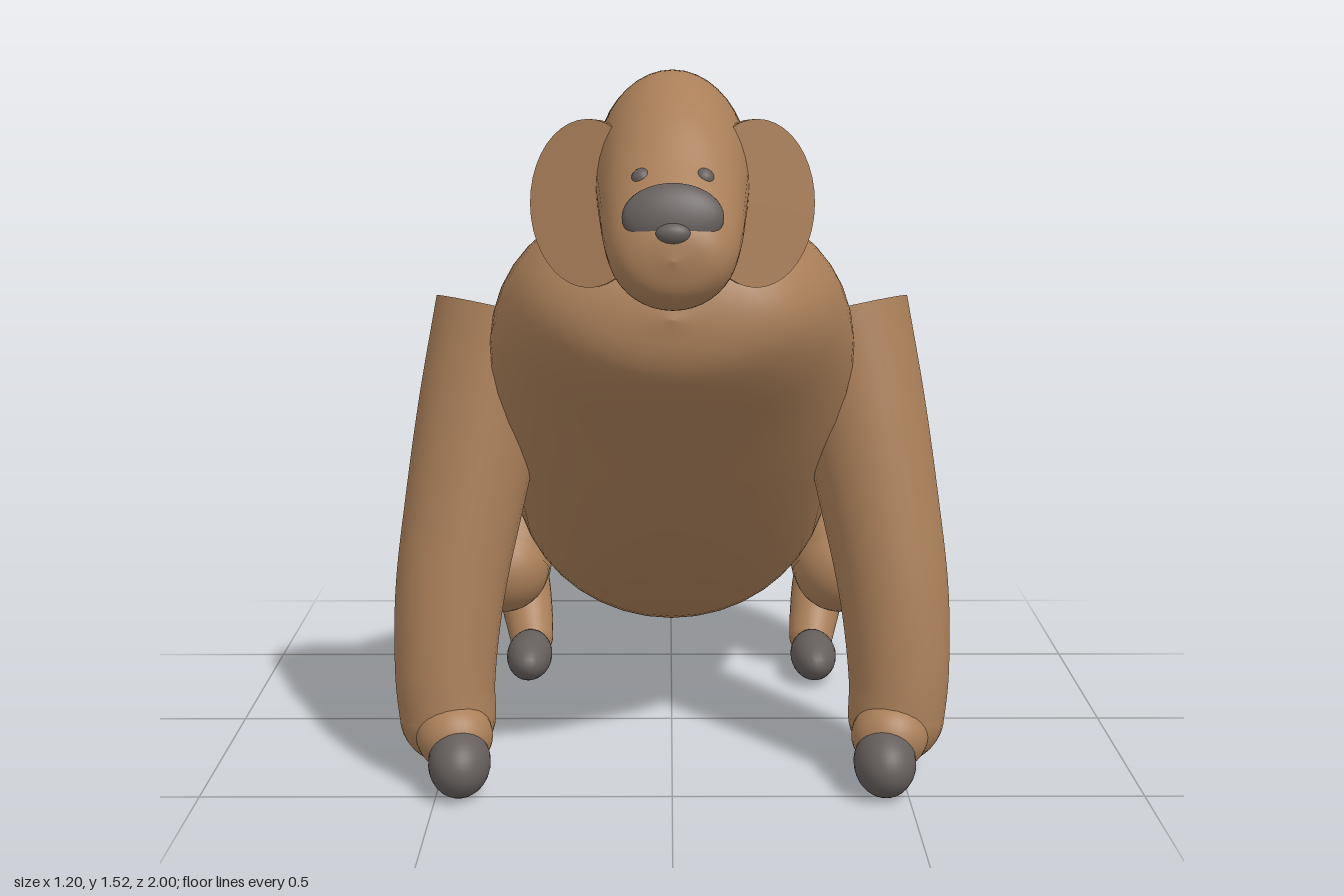
import * as THREE from 'three';

const fur = new THREE.MeshStandardMaterial({ color: 0xaa7f59, side: THREE.DoubleSide });
fur.name = 'brown fur';
const skin = new THREE.MeshStandardMaterial({ color: 0x655e5c });
skin.name = 'dark grey skin';

// Skin a closed surface over rings of points
function skinRings(rings) {
  const n = rings[0].length, index = [];
  for (let i = 0; i < rings.length - 1; i++) {
    for (let j = 0; j < n; j++) {
      const a = i * n + j, b = i * n + (j + 1) % n;
      index.push(a, b, a + n, b, b + n, a + n);
    }
  }
  const geo = new THREE.BufferGeometry().setFromPoints(rings.flat());
  geo.setIndex(index);
  geo.computeVertexNormals();
  return geo;
}

// Oval sections, front to back: [top z, top y, bottom z, bottom y, half width]
function ovalLoft(sections, steps = 56, sides = 40) {
  const top = new THREE.CatmullRomCurve3(sections.map(s => new THREE.Vector3(s[4], s[1], s[0])));
  const bottom = new THREE.CatmullRomCurve3(sections.map(s => new THREE.Vector3(s[4], s[3], s[2])));
  const rings = [];
  for (let i = 0; i <= steps; i++) {
    const t = top.getPoint(i / steps), b = bottom.getPoint(i / steps);
    const ring = [];
    for (let j = 0; j < sides; j++) {
      const a = j / sides * Math.PI * 2, k = (1 + Math.sin(a)) / 2;
      ring.push(new THREE.Vector3(t.x * Math.cos(a), t.y + (b.y - t.y) * k, t.z + (b.z - t.z) * k));
    }
    rings.push(ring);
  }
  return skinRings(rings);
}

// Open tapering tube through points [x, y, z, radius]
function limb(points, side, steps = 28, sides = 28) {
  const path = new THREE.CatmullRomCurve3(points.map(p => new THREE.Vector3(p[0] * side, p[1], p[2])));
  const girth = new THREE.CatmullRomCurve3(points.map((p, i) => new THREE.Vector3(i, p[3], 0)));
  const rings = [];
  for (let i = 0; i <= steps; i++) {
    const t = i / steps, c = path.getPoint(t), r = girth.getPoint(t).y, dir = path.getTangent(t);
    const u = new THREE.Vector3(1, 0, 0).addScaledVector(dir, -dir.x).normalize();
    const v = dir.clone().cross(u);
    const ring = [];
    for (let j = 0; j < sides; j++) {
      const a = j / sides * Math.PI * 2;
      ring.push(c.clone().addScaledVector(u, r * Math.cos(a)).addScaledVector(v, r * Math.sin(a)));
    }
    rings.push(ring);
  }
  return skinRings(rings);
}

export function createModel() {
  const model = new THREE.Group();
  model.name = 'ape';

  function add(parent, name, geo, mat) {
    const mesh = new THREE.Mesh(geo, mat);
    mesh.name = name;
    parent.add(mesh);
    return mesh;
  }
  function ellipsoid(parent, name, mat, pos, size, tilt = 0) {
    const mesh = add(parent, name, new THREE.SphereGeometry(1, 28, 18), mat);
    mesh.position.set(...pos);
    mesh.scale.set(...size);
    mesh.rotation.x = tilt;
    return mesh;
  }
  function part(name) {
    const group = new THREE.Group();
    group.name = name;
    model.add(group);
    return group;
  }

  // Chest, belly and rump
  add(model, 'body', ovalLoft([
    [0.765, 1.06, 0.765, 1.06, 0],
    [0.72, 1.17, 0.75, 0.96, 0.19],
    [0.60, 1.25, 0.69, 0.88, 0.29],
    [0.38, 1.275, 0.56, 0.75, 0.36],
    [0.18, 1.24, 0.42, 0.60, 0.388],
    [0.02, 1.13, 0.20, 0.40, 0.38],
    [-0.17, 0.985, 0.0, 0.27, 0.375],
    [-0.34, 0.88, -0.2, 0.19, 0.378],
    [-0.44, 0.85, -0.4, 0.17, 0.375],
    [-0.58, 0.88, -0.6, 0.235, 0.35],
    [-0.74, 0.912, -0.8, 0.36, 0.31],
    [-0.89, 0.86, -0.93, 0.45, 0.24],
    [-0.96, 0.77, -0.98, 0.56, 0.13],
    [-1.0, 0.68, -1.0, 0.68, 0]
  ]), fur);

  // Head with muzzle
  const head = part('headGroup');
  add(head, 'head', ovalLoft([
    [0.998, 1.2, 0.998, 1.2, 0],
    [0.985, 1.26, 0.98, 1.135, 0.08],
    [0.95, 1.31, 0.94, 1.105, 0.112],
    [0.88, 1.375, 0.88, 1.10, 0.128],
    [0.80, 1.45, 0.80, 1.105, 0.138],
    [0.70, 1.508, 0.70, 1.115, 0.147],
    [0.60, 1.527, 0.58, 1.13, 0.151],
    [0.48, 1.505, 0.46, 1.18, 0.148],
    [0.40, 1.455, 0.39, 1.25, 0.11],
    [0.37, 1.37, 0.37, 1.37, 0]
  ]), fur);
  ellipsoid(head, 'nosePad', skin, [0, 1.275, 0.953], [0.092, 0.062, 0.032], -0.25);
  ellipsoid(head, 'noseTip', skin, [0, 1.248, 0.983], [0.032, 0.02, 0.018]);

  for (const side of [1, -1]) {
    const label = side > 0 ? 'left' : 'right';
    ellipsoid(head, label + 'Eye', skin, [side * 0.056, 1.338, 0.885], [0.02, 0.02, 0.02]);

    // Flat round ear, swept slightly back
    const ear = add(head, label + 'Ear',
      new THREE.CylinderGeometry(1, 1, 0.034, 40).rotateX(Math.PI / 2).scale(0.115, 0.16, 1), fur);
    ear.position.set(side * 0.157, 1.277, 0.706);
    ear.rotation.set(-0.07, side * 0.24, 0);

    // Long arm resting on its knuckles
    const arm = part(label + 'Arm');
    add(arm, 'armTube', limb([
      [0.365, 1.0, 0.205, 0.148],
      [0.41, 0.8, 0.245, 0.138],
      [0.448, 0.6, 0.285, 0.128],
      [0.48, 0.4, 0.325, 0.118],
      [0.49, 0.22, 0.355, 0.108],
      [0.485, 0.14, 0.365, 0.104]
    ], side), fur);
    ellipsoid(arm, 'armEnd', fur, [side * 0.485, 0.14, 0.365], [0.104, 0.104, 0.104]);
    ellipsoid(arm, 'wrist', fur, [side * 0.465, 0.115, 0.43], [0.082, 0.075, 0.075]);
    ellipsoid(arm, 'hand', skin, [side * 0.45, 0.075, 0.485], [0.066, 0.07, 0.085], 0.25);

    // Bent leg with folded shin
    const leg = part(label + 'Leg');
    add(leg, 'thigh', limb([
      [0.31, 0.575, -0.605, 0.13],
      [0.38, 0.42, -0.50, 0.128],
      [0.415, 0.30, -0.415, 0.12],
      [0.42, 0.27, -0.39, 0.118]
    ], side), fur);
    ellipsoid(leg, 'knee', fur, [side * 0.42, 0.27, -0.39], [0.115, 0.115, 0.12]);
    add(leg, 'shin', limb([
      [0.425, 0.255, -0.40, 0.075],
      [0.41, 0.26, -0.50, 0.075],
      [0.385, 0.20, -0.53, 0.07],
      [0.365, 0.12, -0.475, 0.062],
      [0.355, 0.075, -0.43, 0.055]
    ], side), fur);
    ellipsoid(leg, 'ankle', fur, [side * 0.355, 0.075, -0.43], [0.055, 0.055, 0.055]);
    ellipsoid(leg, 'foot', skin, [side * 0.353, 0.06, -0.32], [0.056, 0.056, 0.115]);
  }

  return model;
}
